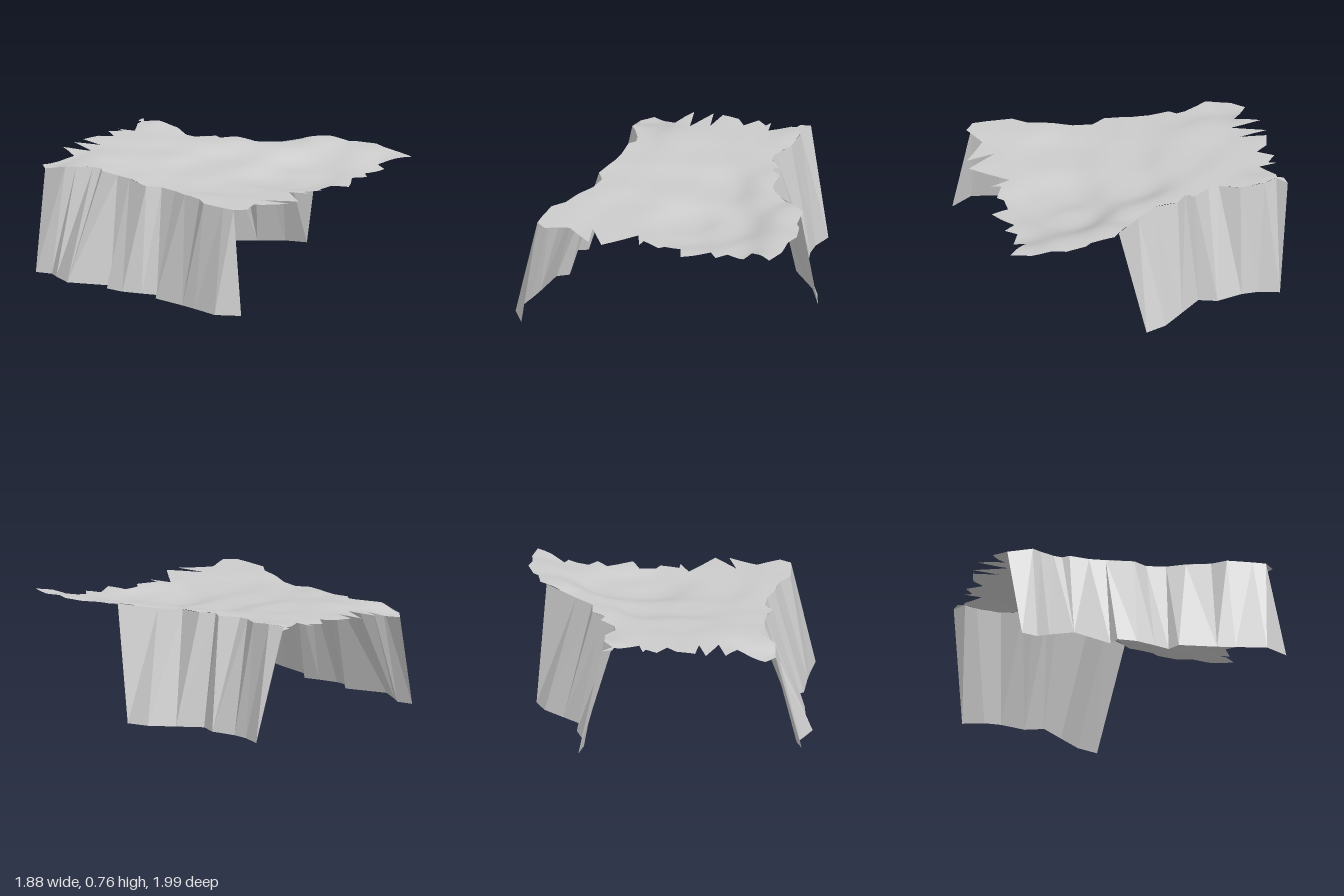
import * as THREE from 'three';

const sheetMaterial = new THREE.MeshStandardMaterial({ color: 0xcccccc, side: THREE.DoubleSide });
const skirtMaterial = new THREE.MeshStandardMaterial({ color: 0xcccccc, side: THREE.DoubleSide, flatShading: true });

// Rims and feet of the two side skirts, as [x, z], back to front
const rightRim = [[-.64, -.87], [-.64, -.7], [-.6, -.64], [-.55, -.54], [-.54, -.48], [-.58, -.44], [-.58, -.31], [-.59, -.2],
  [-.64, -.02], [-.59, .07], [-.61, .2], [-.66, .32], [-.7, .48], [-.77, .57], [-.78, .74], [-.78, .83]];
const rightFoot = [[-.81, -.81], [-.78, -.7], [-.82, -.63], [-.89, -.48], [-.775, -.21], [-.85, -.18], [-.85, -.05],
  [-.81, .08], [-.775, .18], [-.85, .23], [-.88, .48], [-.9, .6], [-.94, .8], [-.85, .95]];
const leftRim = [[.5, -.97], [.43, -.91], [.48, -.82], [.47, -.66], [.4, -.53], [.4, -.46], [.49, -.35], [.46, -.29],
  [.54, -.22], [.54, -.06], [.64, .07], [.83, .25]];
const leftFoot = [[.65, -.88], [.61, -.74], [.61, -.63], [.65, -.46], [.61, -.34], [.73, -.2], [.85, -.06], [.9, .08]];

// Torn free edges of the top sheet
const frontEdge = [[-.71, .89], [-.56, .82], [-.38, .97], [-.42, .77], [-.29, .98], [-.11, .75], [-.06, .89], [-.05, .82],
  [.07, .88], [.1, .84], [.21, .84], [.25, .96], [.32, .92], [.42, .85], [.48, .93], [.54, .86], [.67, .92], [.7, .84],
  [.87, .99], [.91, .85], [.91, .72], [.94, .63], [.91, .49], [.88, .45], [.87, .29]];
const backEdge = [[.43, -.96], [.42, -.92], [.38, -.92], [.25, -.84], [.23, -.96], [.21, -.91], [.14, -.97], [.07, -.87],
  [.01, -.95], [-.11, -.98], [-.14, -.81], [-.18, -1], [-.27, -.78], [-.31, -.99], [-.39, -.83], [-.57, -.95]];

// Sampled heights [x, z, y] of the gently sagging sheet
const heights = [
  [-.78, .83, .68], [-.7, .48, .68], [-.6, .1, .67], [-.58, -.3, .685], [-.54, -.5, .7], [-.62, -.67, .7],
  [-.64, -.87, .65], [-.57, -.95, .65], [-.4, .95, .665], [-.1, .88, .655], [.25, .95, .65], [.55, .92, .665],
  [.87, .98, .735], [.93, .63, .75], [.83, .25, .765], [.64, .07, .73], [.54, -.2, .74], [.4, -.5, .725],
  [.47, -.66, .74], [.48, -.82, .765], [.5, -.97, .745], [.15, .45, .61], [.2, .65, .62], [.4, .45, .64],
  [-.3, .4, .65], [-.1, 0, .67], [.2, 0, .665], [0, -.4, .71], [.2, -.7, .73], [-.3, -.6, .725],
  [0, -.95, .73], [.25, -.95, .73], [-.3, -.97, .715]];

function heightAt(x, z) {
  let sum = 0, total = 0;
  for (const [px, pz, py] of heights) {
    const w = 1 / ((x - px) ** 2 + (z - pz) ** 2 + 0.015) ** 2;
    sum += w * py;
    total += w;
  }
  return sum / total;
}

function slopeNormal(x, z) {
  const e = 0.01;
  return new THREE.Vector3(
    heightAt(x - e, z) - heightAt(x + e, z), 2 * e, heightAt(x, z - e) - heightAt(x, z + e)).normalize();
}

// Fill the outline, halve the longest edges until all are short, and lift the points to the sheet height
function makeSheet() {
  const outline = [...rightRim, ...frontEdge, ...[...leftRim].reverse(), ...backEdge]
    .map(([x, z]) => new THREE.Vector2(x, z));
  const positions = [], normals = [];
  const split = (a, b, c) => {
    const ab = a.distanceTo(b), bc = b.distanceTo(c), ca = c.distanceTo(a);
    const longest = Math.max(ab, bc, ca);
    if (longest < 0.06) {
      for (const p of [a, b, c]) {
        positions.push(p.x, heightAt(p.x, p.y), p.y);
        normals.push(...slopeNormal(p.x, p.y));
      }
    } else if (longest > ab) {
      // turn the triangle until its longest edge comes first
      split(b, c, a);
    } else {
      const middle = a.clone().add(b).multiplyScalar(0.5);
      split(a, middle, c);
      split(middle, b, c);
    }
  };
  for (const face of THREE.ShapeUtils.triangulateShape(outline, [])) {
    const [a, b, c] = face.map((i) => outline[i]);
    const facesUp = (b.x - a.x) * (c.y - a.y) - (b.y - a.y) * (c.x - a.x) < 0;
    split(a, facesUp ? b : c, facesUp ? c : b);
  }
  const geometry = new THREE.BufferGeometry();
  geometry.setAttribute('position', new THREE.Float32BufferAttribute(positions, 3));
  geometry.setAttribute('normal', new THREE.Float32BufferAttribute(normals, 3));
  const mesh = new THREE.Mesh(geometry, sheetMaterial);
  mesh.name = 'topSheet';
  return mesh;
}

// Zip rim and foot together, always taking the step that stays more level in z
function makeSkirt(name, rim, foot, side) {
  const top = rim.map(([x, z]) => new THREE.Vector3(x, heightAt(x, z), z));
  const base = foot.map(([x, z]) => new THREE.Vector3(x, 0, z));
  const positions = [];
  const add = (a, b, c) => {
    for (const p of side > 0 ? [a, b, c] : [a, c, b]) positions.push(p.x, p.y, p.z);
  };
  let i = 0, j = 0;
  while (i < top.length - 1 || j < base.length - 1) {
    const stepTop = j === base.length - 1 ||
      (i < top.length - 1 && Math.abs(top[i + 1].z - base[j].z) < Math.abs(top[i].z - base[j + 1].z));
    if (stepTop) add(top[i], top[++i], base[j]);
    else add(top[i], base[j + 1], base[j++]);
  }
  const geometry = new THREE.BufferGeometry();
  geometry.setAttribute('position', new THREE.Float32BufferAttribute(positions, 3));
  geometry.computeVertexNormals();
  const mesh = new THREE.Mesh(geometry, skirtMaterial);
  mesh.name = name;
  return mesh;
}

export function createModel() {
  const model = new THREE.Group();
  model.name = 'rockBridge';
  model.add(
    makeSheet(),
    makeSkirt('rightSkirt', rightRim, rightFoot, -1),
    makeSkirt('leftSkirt', leftRim, leftFoot, 1),
  );
  return model;
}
